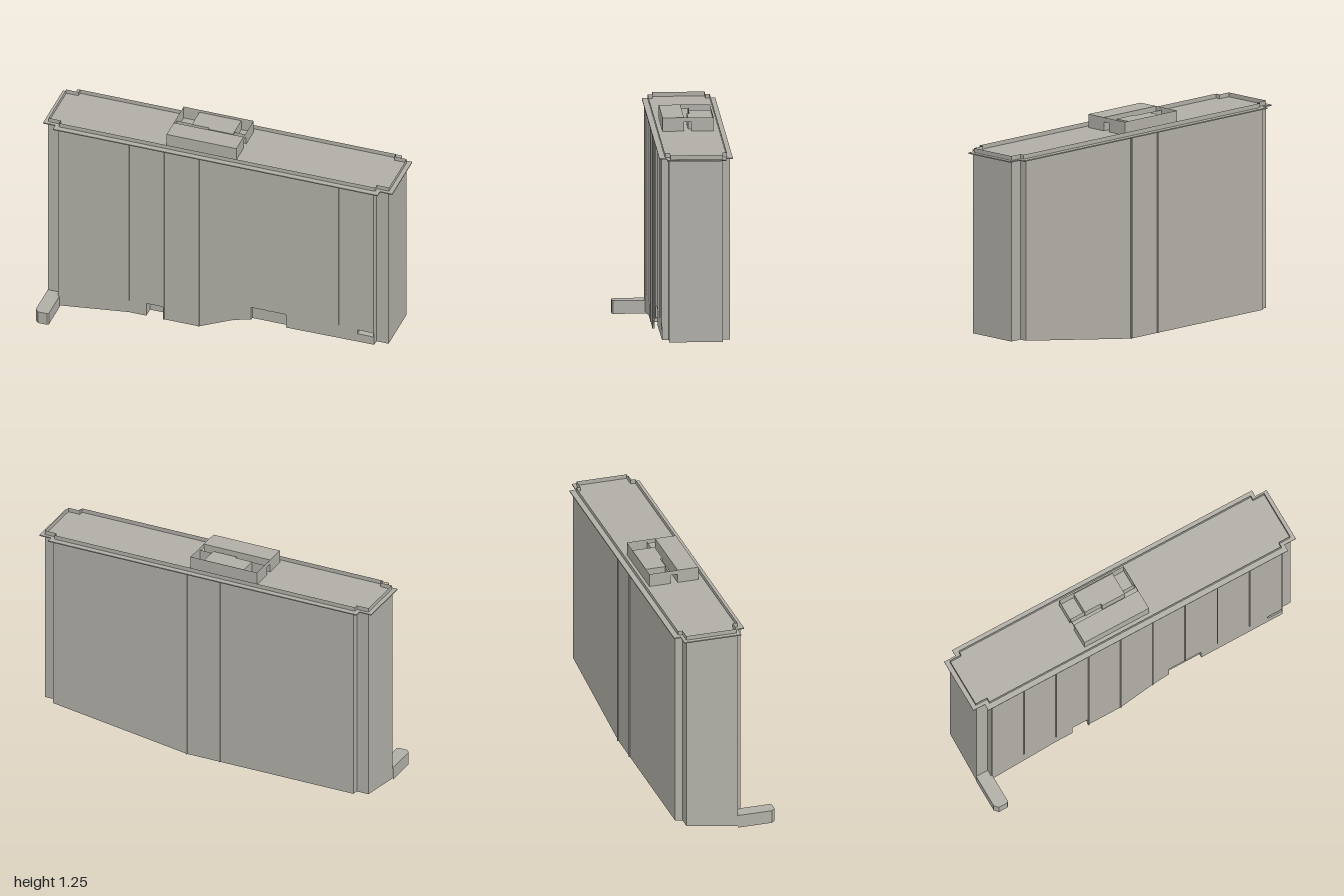
import * as THREE from 'three';

const concrete = new THREE.MeshStandardMaterial({ color: 0xb0aea6, side: THREE.DoubleSide });
concrete.name = 'concrete grey';

export function createModel() {
  const model = new THREE.Group();
  const add = (name, geometry) => {
    const mesh = new THREE.Mesh(geometry, concrete);
    mesh.name = name;
    model.add(mesh);
    return mesh;
  };
  // Flat four-cornered faces
  const faces = (name, quads) => {
    const p = [];
    for (const [a, b, c, d] of quads) p.push(...a, ...b, ...c, ...a, ...c, ...d);
    const g = new THREE.BufferGeometry();
    g.setAttribute('position', new THREE.Float32BufferAttribute(p, 3));
    g.computeVertexNormals();
    return add(name, g);
  };
  // Upright sheet along plan points [x, z, bottom], all reaching the same top
  const wall = (name, pts, top) => {
    const quads = [];
    for (let i = 0; i + 1 < pts.length; i++) {
      const [x0, z0, b0] = pts[i], [x1, z1, b1] = pts[i + 1];
      if (x0 === x1 && z0 === z1) continue;
      quads.push([[x0, b0, z0], [x1, b1, z1], [x1, top, z1], [x0, top, z0]]);
    }
    return faces(name, quads);
  };
  const box = (name, x0, x1, y0, y1, z0, z1) =>
    add(name, new THREE.BoxGeometry(x1 - x0, y1 - y0, z1 - z0))
      .position.set((x0 + x1) / 2, (y0 + y1) / 2, (z0 + z1) / 2);
  // Niche sunk into the front wall
  const niche = (name, x0, x1, y0, y1, depth, floor) => {
    const f = FRONT, b = FRONT - depth;
    const q = [
      [[x0, y0, b], [x1, y0, b], [x1, y1, b], [x0, y1, b]],
      [[x0, y0, f], [x0, y0, b], [x0, y1, b], [x0, y1, f]],
      [[x1, y0, b], [x1, y0, f], [x1, y1, f], [x1, y1, b]],
      [[x0, y1, b], [x1, y1, b], [x1, y1, f], [x0, y1, f]],
    ];
    if (floor) q.push([[x0, y0, f], [x1, y0, f], [x1, y0, b], [x0, y0, b]]);
    faces(name, q);
  };
  // Rectangle with a square bite out of every corner, as plan points
  const notched = (xo, xi, zf, zfi, zbi, zb) => [
    [-xi, zf], [xi, zf], [xi, zfi], [xo, zfi], [xo, zbi], [xi, zbi],
    [xi, zb], [-xi, zb], [-xi, zbi], [-xo, zbi], [-xo, zfi], [-xi, zfi],
  ];
  const slab = (name, pts, y, h) => {
    const shape = new THREE.Shape(pts.map(([x, z]) => new THREE.Vector2(x, -z)));
    const g = new THREE.ExtrudeGeometry(shape, { depth: h, bevelEnabled: false });
    add(name, g.rotateX(-Math.PI / 2).translate(0, y, 0));
  };

  const FRONT = 0.1, BACK = -0.268, TOP = 1.172, SIDE = 0.975, IN = 0.905;

  // Front wall with its stepped lower edge
  wall('frontWall', [
    [-IN, FRONT, 0.01], [-0.5, FRONT, 0.06], [-0.4, FRONT, 0.06],
    [-0.4, FRONT, 0.14], [-0.3, FRONT, 0.14], [-0.3, FRONT, 0.06],
    [-0.1, FRONT, 0.06], [0.1, FRONT, 0.15], [0.2, FRONT, 0.175],
    [0.2, FRONT, 0.255], [0.4, FRONT, 0.255], [0.4, FRONT, 0.17],
    [0.81, FRONT, 0.174], [0.81, FRONT, 0.25], [0.9, FRONT, 0.25],
    [0.9, FRONT, 0.175], [IN, FRONT, 0.175],
  ], TOP);
  wall('frontWallBelowSlot', [[0.81, FRONT, 0.174], [0.9, FRONT, 0.175]], 0.225);
  niche('doorNiche', -0.4, -0.3, 0.06, 0.14, 0.06, false);
  niche('wideNiche', 0.2, 0.4, 0.173, 0.255, 0.02, false);
  niche('slotNiche', 0.81, 0.9, 0.225, 0.25, 0.04, true);

  // End walls with their set-back corners
  wall('leftEndWall', [
    [IN, FRONT, 0.175], [IN, 0.065, 0.175], [SIDE, 0.065, 0.175],
    [SIDE, -0.226, 0.175], [IN, -0.226, 0.175], [IN, BACK, 0.175],
  ], TOP);
  wall('rightEndWall', [
    [-IN, BACK, 0.06], [-IN, -0.226, 0.054], [-SIDE, -0.226, 0.054],
    [-SIDE, 0.065, 0.008], [-IN, 0.065, 0.008], [-IN, FRONT, 0.005],
  ], TOP);
  wall('backWall', [
    [IN, BACK, 0.175], [0.1, BACK, 0.06], [-IN, BACK, 0.06],
  ], TOP);

  // Slim vertical ribs
  const ribs = [[-0.9, 0.012], [-0.7, 0.14], [-0.5, 0.14], [-0.3, 0.06], [-0.1, 0.06],
    [0.1, 0.15], [0.3, 0.255], [0.5, 0.26], [0.7, 0.26], [0.9, 0.25]];
  for (const [x, y] of ribs) box('frontRib', x - 0.003, x + 0.003, y, TOP, 0.09, 0.104);
  for (const x of [-0.1, 0.1]) box('backRib', x - 0.004, x + 0.004, 0.06, TOP, -0.274, -0.262);

  // Thin cornice doubling as roof, and the parapet
  slab('cornice', notched(1, 0.93, 0.116, 0.077, -0.244, -0.281), 1.17, 0.006);
  const rim = notched(SIDE, IN, 0.085, 0.058, -0.226, -0.25);
  wall('parapet', [...rim, rim[0]].map(([x, z]) => [x, z, 1.175]), 1.2);

  // Rooftop plant room: closed front part, open rear yard with a side gap
  const R = 1.175, H = 1.25;
  box('plantRoom', -0.3, 0.1, R, H, -0.06, 0.057);
  wall('yardWall', [[0.1, -0.1, R], [0.1, -0.22, R], [-0.3, -0.22, R], [-0.3, -0.1, R]], H);
  for (const x of [-0.3, 0.1]) wall('gapLintel', [[x, -0.06, 1.225], [x, -0.1, 1.225]], H);
  wall('yardPartition', [[-0.3, -0.102, R], [-0.21, -0.102, R]], 1.235);
  wall('yardPartition', [[0.03, -0.105, R], [0.1, -0.105, R]], 1.235);
  box('yardUnit', -0.21, 0.03, R, 1.235, -0.219, -0.098);
  box('yardUnitStep', -0.11, 0.03, R, 1.235, -0.098, -0.085);

  // Low porch, open underneath, with clipped front corners
  const porch = [[-0.977, 0.065], [-0.977, 0.258], [-0.957, 0.28],
    [-0.905, 0.28], [-0.897, 0.274], [-0.897, 0.1], [-0.905, 0.065]];
  wall('porchWalls', porch.map(([x, z]) => [x, z, 0]), 0.07);
  slab('porchRoof', porch, 0.07, 0.003);

  return model;
}
